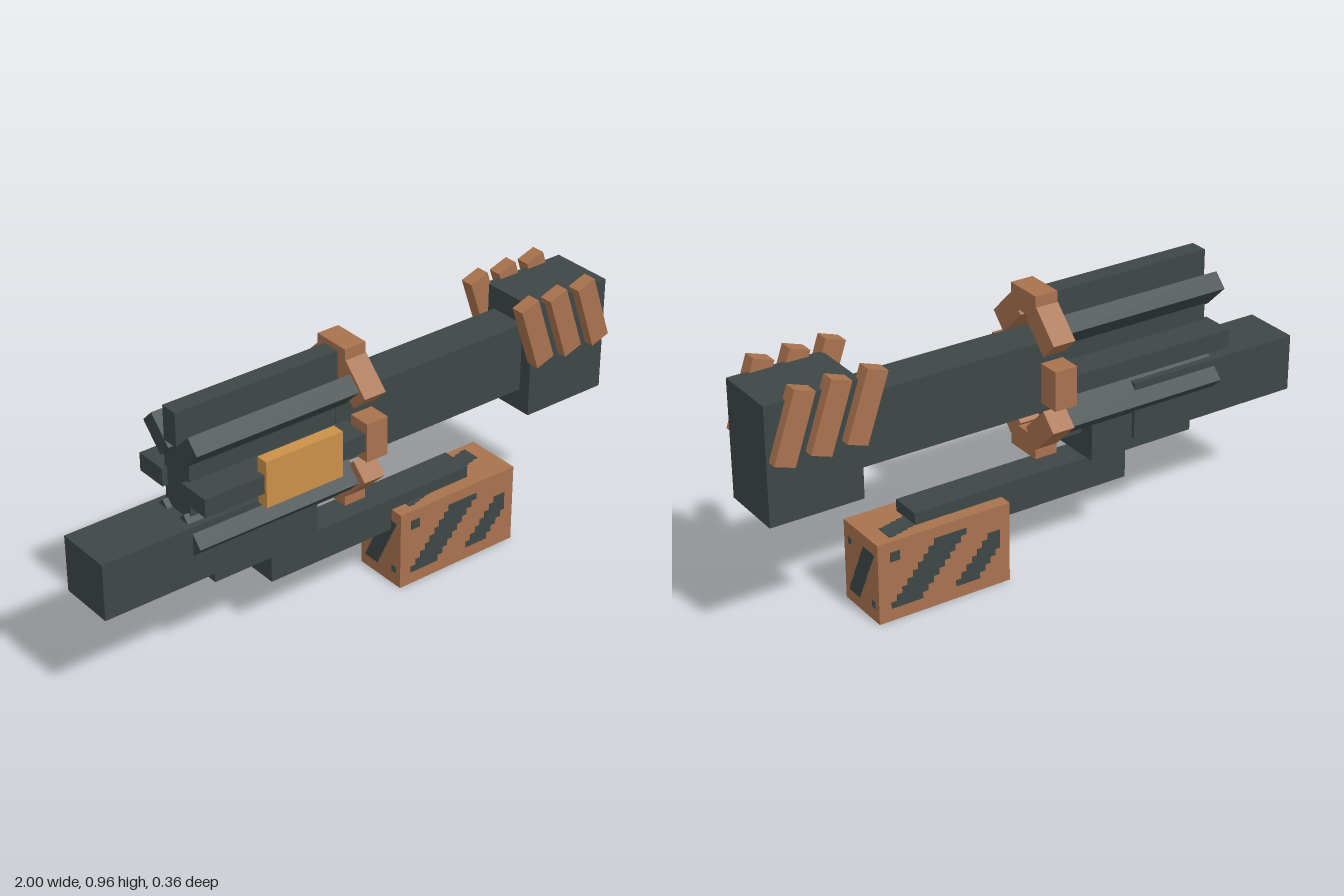
import * as THREE from 'three';

export function createModel() {
  const model = new THREE.Group();
  const mat = (name, color) => {
    const m = new THREE.MeshStandardMaterial({ color });
    m.name = name;
    return m;
  };
  const iron = mat('dark iron', 0x3e4646);
  const copper = mat('copper', 0xa9724d);
  const gold = mat('gold', 0xcb9047);

  // Box given by its limits on each axis
  const block = (name, m, [x0, x1], [y0, y1], [z0, z1]) => {
    const mesh = new THREE.Mesh(new THREE.BoxGeometry(x1 - x0, y1 - y0, z1 - z0), m);
    mesh.position.set((x0 + x1) / 2, (y0 + y1) / 2, (z0 + z1) / 2);
    mesh.name = name;
    model.add(mesh);
    return mesh;
  };

  // Barrel, muzzle, stock and underside rails
  block('barrel', iron, [-0.1, 0.68], [0.555, 0.8], [-0.072, 0.068]);
  block('muzzleHead', iron, [0.675, 1], [0.475, 0.88], [-0.115, 0.113]);
  block('stock', iron, [-1, -0.35], [0.372, 0.572], [-0.103, 0.101]);
  block('stockMount', iron, [-0.59, -0.19], [0.33, 0.468], [-0.09, 0.088]);
  block('lowerRail', iron, [-0.35, 0.465], [0.21, 0.328], [-0.057, 0.055]);
  block('chamberCore', iron, [-0.655, -0.06], [0.55, 0.82], [-0.065, 0.065]);
  block('sidePlate', gold, [-0.455, -0.163], [0.595, 0.758], [0.138, 0.182]);

  // Eight blocks around an oval, each facing outward
  const around = (name, m, [x0, x1], top, diag, side, depth, width) => {
    const g = new THREE.Group();
    g.name = name;
    for (let k = 0; k < 8; k++) {
      const a = k * Math.PI / 4, c = Math.cos(a), s = Math.sin(a);
      const [z, y] = k % 2 ? diag : k % 4 ? [side, 0] : [0, top];
      const mesh = new THREE.Mesh(new THREE.BoxGeometry(x1 - x0, depth, width), m);
      mesh.position.set((x0 + x1) / 2,
        0.675 + Math.sign(Math.round(c * 9)) * y - c * depth / 2,
        Math.sign(Math.round(s * 9)) * z - s * depth / 2);
      mesh.rotation.x = a;
      mesh.name = name + 'Segment';
      g.add(mesh);
    }
    model.add(g);
  };
  around('collarRing', copper, [-0.065, 0.017], 0.285, [0.12, 0.2], 0.179, 0.08, 0.137);
  around('chamberBars', iron, [-0.675, -0.06], 0.265, [0.1175, 0.1875], 0.172, 0.12, 0.064);

  // Three slanted fins on each side of the muzzle
  for (const side of [-1, 1]) {
    for (let i = 0; i < 3; i++) {
      const x = 0.671 + i * 0.123, z = side * 0.125;
      const fin = block('muzzleFin', copper, [x - 0.037, x + 0.037], [0.676, 0.918], [z - 0.024, z + 0.024]);
      fin.rotation.z = 0.33;
    }
  }

  // Painted ammunition box
  const W = 0.49, H = 0.286, D = 0.206, cx = 0.385;
  block('ammoBox', copper, [cx - W / 2, cx + W / 2], [0, H], [-D / 2, D / 2]);

  // Stepped slanted stripe: bottom and top spans, cut at a right limit
  const stripe = (b0, b1, t0, t1, y0, y1, n, limit = 9) => {
    const left = [], right = [], h = (y1 - y0) / n;
    for (let i = 0; i < n; i++) {
      const t = i / (n - 1);
      const l = b0 + (t0 - b0) * t, r = Math.min(limit, b1 + (t1 - b1) * t);
      for (const y of [y0 + i * h, y0 + (i + 1) * h]) {
        left.push(new THREE.Vector2(l, y));
        right.push(new THREE.Vector2(r, y));
      }
    }
    return new THREE.Shape([...right, ...left.reverse()]);
  };
  const rect = (x, y, w, h) => stripe(x - w / 2, x + w / 2, x - w / 2, x + w / 2, y - h / 2, y + h / 2, 2);
  const paint = (shapes) => {
    const geo = new THREE.ExtrudeGeometry(shapes, { depth: 0.004, bevelEnabled: false });
    geo.translate(0, 0, -0.002);
    const mesh = new THREE.Mesh(geo, iron);
    mesh.name = 'paintedStripes';
    model.add(mesh);
    return mesh;
  };

  // Long sides
  const sideShapes = [
    stripe(-0.2, -0.085, -0.04, 0.08, -0.098, 0.104, 9),
    stripe(0.04, 0.13, 0.16, 0.25, -0.098, 0.057, 7, 0.207),
    rect(-0.183, 0.088, 0.036, 0.034),
  ];
  // Ends
  const endStripe = stripe(-0.077, -0.012, 0.014, 0.08, -0.101, 0.101, 15);
  const endShapes = [endStripe];
  for (const i of [-1, 0, 1]) {
    endShapes.push(rect(-0.067 + i * 0.008, 0.082, 0.004, 0.024), rect(0.071 + i * 0.008, -0.082, 0.004, 0.024));
  }
  for (const s of [1, -1]) {
    const long = paint(sideShapes);
    long.position.set(cx, H / 2, s * D / 2);
    long.rotation.y = s > 0 ? 0 : Math.PI;
    const end = paint(endShapes);
    end.position.set(cx + s * W / 2, H / 2, 0);
    end.rotation.y = s * Math.PI / 2;
    // Top and bottom: the end stripe laid along the box
    const flat = paint([endStripe]);
    flat.rotation.setFromRotationMatrix(new THREE.Matrix4().makeBasis(
      new THREE.Vector3(0, 0, -s), new THREE.Vector3(1, 0, 0), new THREE.Vector3(0, -s, 0)));
    flat.scale.y = 1.85;
    flat.position.set(cx, s > 0 ? H : 0.002, 0);
  }
  return model;
}
